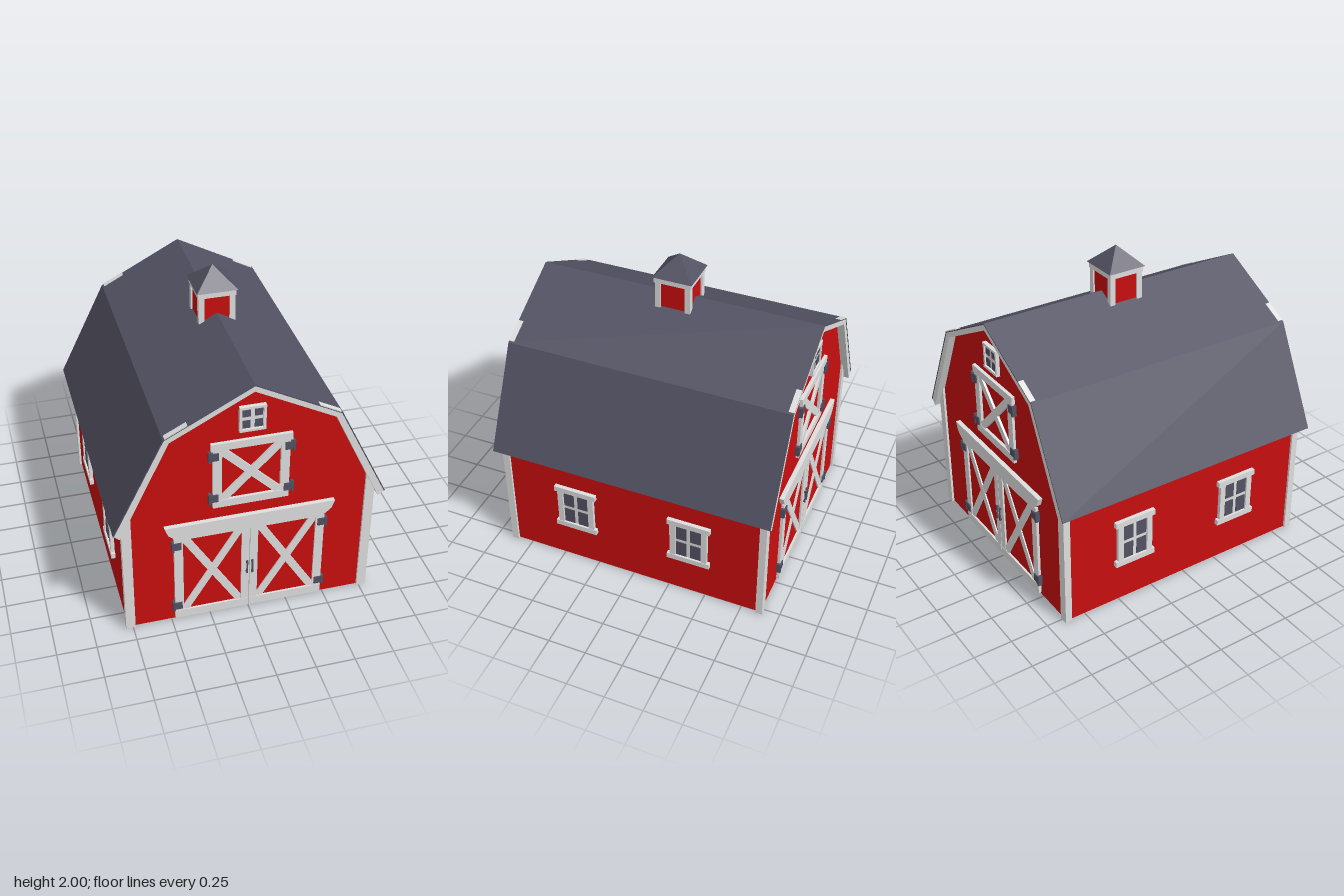
import * as THREE from 'three';

const mat = (name, color, side = THREE.FrontSide) => {
  const m = new THREE.MeshStandardMaterial({ color, side });
  m.name = name;
  return m;
};

export function createModel() {
  const red = mat('barn red', 0xc80e0e);
  const trim = mat('trim white', 0xdedede);
  const slate = mat('slate grey', 0x525162);

  const barn = new THREE.Group();
  barn.name = 'barn';

  const add = (parent, name, geo, material, x = 0, y = 0, z = 0) => {
    const m = new THREE.Mesh(geo, material);
    m.name = name;
    m.position.set(x, y, z);
    parent.add(m);
    return m;
  };
  // Box given by its x, y and z ranges
  const box = (parent, name, material, x0, x1, y0, y1, z0, z1) =>
    add(parent, name, new THREE.BoxGeometry(x1 - x0, y1 - y0, z1 - z0), material,
      (x0 + x1) / 2, (y0 + y1) / 2, (z0 + z1) / 2);
  // Polygon extruded from z0 to z1
  const prism = (parent, name, material, pts, z0, z1) => {
    const shape = new THREE.Shape(pts.map(p => new THREE.Vector2(...p)));
    const geo = new THREE.ExtrudeGeometry(shape, { depth: z1 - z0, bevelEnabled: false });
    return add(parent, name, geo, material, 0, 0, z0);
  };
  // Adds the mirrored half of a profile that runs from the right edge to the ridge
  const mirrored = half => [...half, ...half.slice(0, -1).reverse().map(([x, y]) => [-x, y])];
  // Flat board between two points
  const board = (parent, name, a, b, width, z0, z1) => {
    const dx = b[0] - a[0], dy = b[1] - a[1];
    const m = add(parent, name, new THREE.BoxGeometry(Math.hypot(dx, dy), width, z1 - z0), trim,
      (a[0] + b[0]) / 2, (a[1] + b[1]) / 2, (z0 + z1) / 2);
    m.rotation.z = Math.atan2(dy, dx);
  };
  const cross = (parent, x0, x1, y0, y1, width, z0, z1) => {
    board(parent, 'crossBrace', [x0, y0], [x1, y1], width, z0, z1);
    board(parent, 'crossBrace', [x0, y1], [x1, y0], width, z0, z1 - 0.001);
  };

  // Walls and floor
  const W = 0.78, D = 0.88;
  prism(barn, 'walls', red, mirrored([[W, 0.004], [W, 0.82], [0.5, 1.41], [0, 1.67]]), -D, D);
  box(barn, 'floor', trim, -W, W, 0, 0.004, -D, D);

  // Gambrel roof: white under-shell with a slate cover
  const outer = [[0.85, 0.8], [0.535, 1.44], [0, 1.72]];
  const middle = [[0.844, 0.796], [0.53, 1.434], [0, 1.713]];
  const inner = [[0.808, 0.765], [0.5, 1.412], [0, 1.675]];
  const band = (top, low) => [...mirrored(top), ...mirrored(low).reverse()];
  prism(barn, 'roofTrim', trim, band(middle, inner), -0.928, 0.928);
  prism(barn, 'roofCover', slate, band(outer, middle), -0.93, 0.93);

  // White caps at the roof bends
  for (const sx of [-1, 1]) for (const sz of [-1, 1]) {
    const cap = add(barn, 'roofBendCap', new THREE.BoxGeometry(0.15, 0.006, 0.035), trim,
      sx * 0.458, 1.481, sz * 0.913);
    cap.rotation.z = -sx * Math.atan2(0.28, 0.535);
  }

  // Corner boards
  for (const sx of [-1, 1]) for (const sz of [-1, 1]) {
    const z = sz > 0 ? [D - 0.03, D + 0.015] : [-D - 0.015, -D + 0.03];
    prism(barn, 'cornerBoard', trim,
      [[0.735, 0], [0.795, 0], [0.795, 0.79], [0.735, 0.93]].map(([x, y]) => [sx * x, y]), ...z);
  }

  // Four-pane window facing +z, centred on the origin
  const makeWindow = (w, h, frame, lip) => {
    const g = new THREE.Group();
    g.name = 'window';
    const x = w / 2, y = h / 2, bar = 0.009;
    box(g, 'windowBacking', trim, -x, x, -y, y, 0, 0.012);
    for (const s of [-1, 1]) {
      const a = s * (x - frame / 2), b = s * (y - frame / 2);
      box(g, 'windowJamb', trim, a - frame / 2, a + frame / 2, -y, y, 0, 0.024);
      box(g, 'windowRail', trim, -x - lip, x + lip, b - frame / 2, b + frame / 2, 0, 0.027);
      for (const t of [-1, 1]) {
        const pw = x - frame - bar, ph = y - frame - bar;
        const cx = s * (bar + pw / 2), cy = t * (bar + ph / 2);
        box(g, 'windowPane', slate, cx - pw / 2 + 0.004, cx + pw / 2 - 0.004,
          cy - ph / 2 + 0.004, cy + ph / 2 - 0.004, 0.012, 0.017);
      }
    }
    return g;
  };

  // Side windows
  for (const sx of [-1, 1]) for (const sz of [-1, 1]) {
    const win = makeWindow(0.25, 0.33, 0.038, 0.018);
    win.name = 'sideWindow';
    win.position.set(sx * W, 0.438, sz * 0.39);
    win.rotation.y = sx * Math.PI / 2;
    barn.add(win);
  }

  // Gable end, used for front and back; z is measured from the wall
  const makeGable = name => {
    const g = new THREE.Group();
    g.name = name;

    const win = makeWindow(0.16, 0.17, 0.016, 0);
    win.name = 'gableWindow';
    win.position.y = 1.475;
    g.add(win);

    // Loft hatch
    cross(g, -0.19, 0.19, 0.9, 1.28, 0.05, 0, 0.016);
    box(g, 'hatchTopRail', trim, -0.248, 0.248, 1.28, 1.33, 0, 0.022);
    box(g, 'hatchBottomRail', trim, -0.235, 0.235, 0.86, 0.912, 0, 0.02);

    // Double door header
    prism(g, 'doorHeader', trim, mirrored([[0.42, 0.664], [0.475, 0.68], [0.515, 0.715],
      [0.535, 0.77], [0, 0.77]]), 0, 0.03);

    for (const s of [-1, 1]) {
      const sided = (n, m, x0, x1, y0, y1, z0, z1) =>
        box(g, n, m, Math.min(s * x0, s * x1), Math.max(s * x0, s * x1), y0, y1, z0, z1);
      const hinge = (x, y) => {
        sided('hingeStrap', slate, x - 0.035, x + 0.01, y - 0.026, y + 0.026, 0, 0.026);
        sided('hingeKnuckle', slate, x + 0.01, x + 0.026, y - 0.035, y + 0.035, 0, 0.029);
      };
      sided('hatchStile', trim, 0.18, 0.235, 0.87, 1.3, 0, 0.018);
      hinge(0.238, 1.24);
      hinge(0.238, 0.935);

      // Door leaf
      sided('doorPanel', red, 0.004, 0.475, 0.02, 0.67, 0, 0.006);
      sided('doorOuterStile', trim, 0.422, 0.478, 0.018, 0.67, 0, 0.018);
      sided('doorInnerStile', trim, 0.002, 0.052, 0.018, 0.72, 0, 0.018);
      sided('doorBottomRail', trim, 0.002, 0.478, 0.018, 0.078, 0, 0.02);
      cross(g, s * 0.06, s * 0.415, 0.08, 0.665, 0.05, 0, 0.015);
      hinge(0.468, 0.61);
      hinge(0.468, 0.122);

      // Pull handle
      sided('handleGrip', slate, 0.012, 0.022, 0.3, 0.4, 0.024, 0.032);
      for (const y of [0.305, 0.385])
        sided('handleMount', slate, 0.01, 0.024, y, y + 0.012, 0.016, 0.028);
    }
    return g;
  };
  const front = makeGable('frontGable');
  front.position.z = D;
  const back = makeGable('backGable');
  back.position.z = -D;
  back.rotation.y = Math.PI;
  barn.add(front, back);

  // Cupola
  const cupola = new THREE.Group();
  cupola.name = 'cupola';
  barn.add(cupola);
  box(cupola, 'cupolaWalls', red, -0.105, 0.105, 1.6, 1.86, -0.105, 0.105);
  for (const sx of [-1, 1]) for (const sz of [-1, 1])
    add(cupola, 'cupolaPost', new THREE.BoxGeometry(0.036, 0.25, 0.036), trim,
      sx * 0.098, 1.725, sz * 0.098);
  box(cupola, 'cupolaCornice', trim, -0.121, 0.121, 1.837, 1.874, -0.121, 0.121);
  const spire = new THREE.ConeGeometry(0.13 * Math.SQRT2, 0.126, 4).toNonIndexed();
  spire.rotateY(Math.PI / 4);
  spire.computeVertexNormals();
  add(cupola, 'cupolaRoof', spire, slate, 0, 1.937, 0);

  return barn;
}
